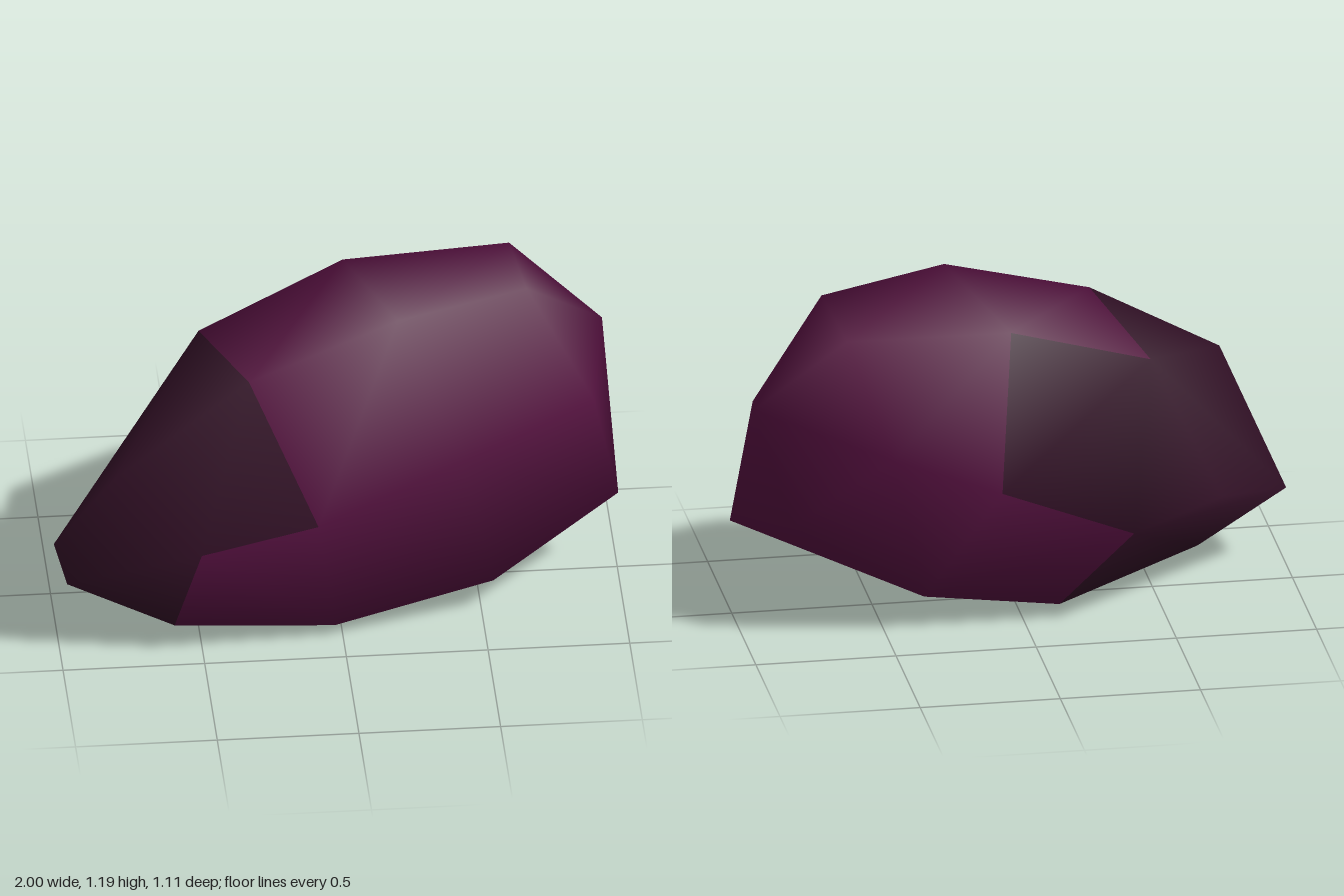
import * as THREE from 'three';
import { ConvexGeometry } from 'three/addons/geometries/ConvexGeometry.js';

// Corners of the tapered, tilted pebble: [x, y, z]
const CORNERS = {
  // dark tip
  tipBack: [-1, 0.29, 0.13], tipFront: [-0.98, 0.32, 0.44], tipTop: [-0.81, 0.73, 0.41],
  tipBottom: [-0.68, 0.10, 0.11], tipRear: [-0.72, 0.40, -0.19],
  // rim where the two colours meet
  rimA: [-0.325, 1.03, 0.29], rimB: [-0.10, 0.56, 0.52], rimC: [-0.515, 0.485, 0.555],
  rimD: [-0.60, 0.12, 0.43], rimE: [-0.03, 0.05, 0.37], rimF: [-0.15, 0, -0.11],
  rimG: [-0.36, 0.38, -0.437], rimH: [0.13, 0.61, -0.557], rimI: [0.06, 1.125, -0.33],
  rimJ: [-0.46, 0.94, -0.2],
  // blunt purple body
  topFront: [0.21, 1.193, 0.19], topMid: [0.68, 1.18, 0], topBack: [0.65, 1.143, -0.36],
  endTop: [0.97, 0.87, -0.27], endFront: [0.91, 0.76, 0.09], endLow: [1, 0.335, 0.04],
  endBack: [0.84, 0.45, -0.34], back: [0.52, 0.76, -0.557], front: [0.42, 0.70, 0.36],
  lowFront: [0.54, 0.135, 0.26], lowBack: [0.36, 0.125, -0.27],
};

// Rim corners whose connecting faces lie on the body side
const BODY_NOTCHES = [
  ['rimB', 'rimC', 'rimD', 'rimE'],
  ['rimA', 'rimJ', 'rimI'],
  ['rimF', 'rimG', 'rimH'],
];

function isTipFace(names) {
  return names.every((n) => /^(tip|rim)/.test(n))
    && !BODY_NOTCHES.some((notch) => names.every((n) => notch.includes(n)));
}

export function createModel() {
  const names = Object.keys(CORNERS);
  const points = names.map((n) => new THREE.Vector3(...CORNERS[n]));

  // Wrap the corners and sort the faces by colour
  const hull = new ConvexGeometry(points).getAttribute('position');
  const p = new THREE.Vector3();
  const body = [], tip = [];
  for (let i = 0; i < hull.count; i += 3) {
    const face = [0, 1, 2].map((k) => {
      p.fromBufferAttribute(hull, i + k);
      return points.findIndex((q) => q.distanceTo(p) < 1e-3);
    });
    (isTipFace(face.map((f) => names[f])) ? tip : body).push(...face);
  }

  // Smooth normals shared across both colours
  const whole = new THREE.BufferGeometry().setFromPoints(points);
  whole.setIndex([...body, ...tip]);
  whole.computeVertexNormals();

  const purple = new THREE.MeshStandardMaterial({ color: 0x520f3d });
  purple.name = 'deep purple';
  const dark = new THREE.MeshStandardMaterial({ color: 0x321026 });
  dark.name = 'dark plum';

  const group = new THREE.Group();
  group.name = 'pebble';
  const parts = [['body', body, purple], ['taperedTip', tip, dark]];
  for (const [name, index, material] of parts) {
    const geometry = whole.clone();
    geometry.setIndex(index);
    const mesh = new THREE.Mesh(geometry, material);
    mesh.name = name;
    group.add(mesh);
  }
  return group;
}
